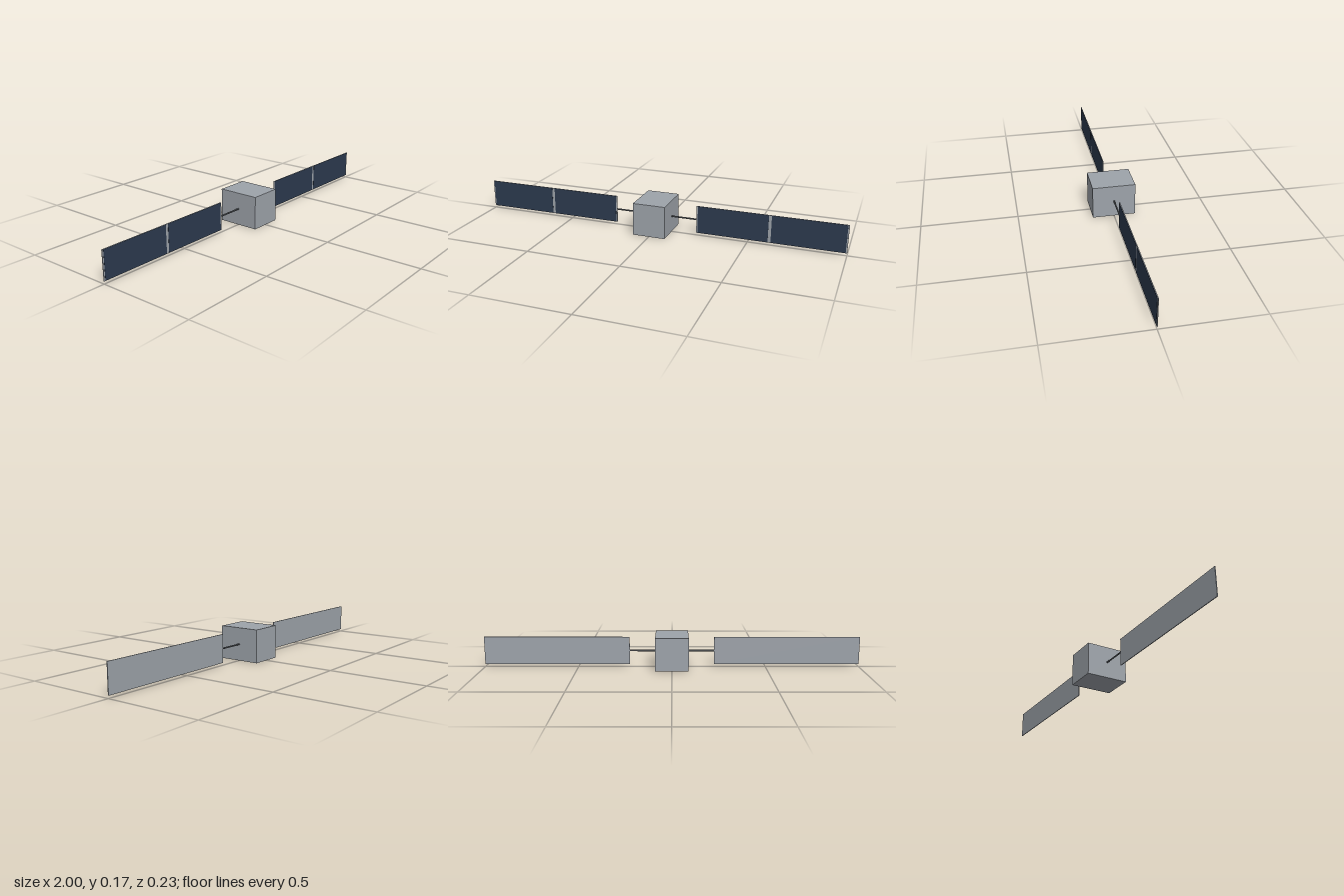
import * as THREE from 'three';

export function createModel() {
  const silver = new THREE.MeshStandardMaterial({ color: 0x9da3aa });
  silver.name = 'silver';
  const navy = new THREE.MeshStandardMaterial({ color: 0x2c3a4e });
  navy.name = 'navy';
  const darkGrey = new THREE.MeshStandardMaterial({ color: 0x5a5f64 });
  darkGrey.name = 'darkGrey';

  const model = new THREE.Group();
  model.name = 'satellite';
  const midY = 0.0875;

  function add(parent, name, geometry, material, x, y, z) {
    const mesh = new THREE.Mesh(geometry, material);
    mesh.name = name;
    mesh.position.set(x, y, z);
    parent.add(mesh);
    return mesh;
  }

  // Central body
  add(model, 'body', new THREE.BoxGeometry(0.175, 0.175, 0.226), silver, 0, midY, 0);

  // Solar wings, mirrored on both sides
  const inner = 0.225, outer = 1, margin = 0.007, gap = 0.015;
  const length = outer - inner;
  const cellLength = (length - 2 * margin - gap) / 2;
  for (const side of [1, -1]) {
    const wing = new THREE.Group();
    wing.name = side > 0 ? 'leftWing' : 'rightWing';
    model.add(wing);

    // Boom from the body to the panel
    const boom = new THREE.CylinderGeometry(0.0042, 0.0042, 0.14, 12);
    add(wing, 'boom', boom, darkGrey, side * 0.155, midY, 0).rotation.z = Math.PI / 2;

    // Backing panel
    const panel = new THREE.BoxGeometry(length, 0.149, 0.004);
    add(wing, 'panel', panel, silver, side * (inner + outer) / 2, midY, -0.0005);

    // Two thin cell plates on the front
    for (let i = 0; i < 2; i++) {
      const x = inner + margin + cellLength / 2 + i * (cellLength + gap);
      const cells = new THREE.BoxGeometry(cellLength, 0.146, 0.001);
      add(wing, 'solarCells', cells, navy, side * x, midY, 0.002);
    }
  }
  return model;
}
